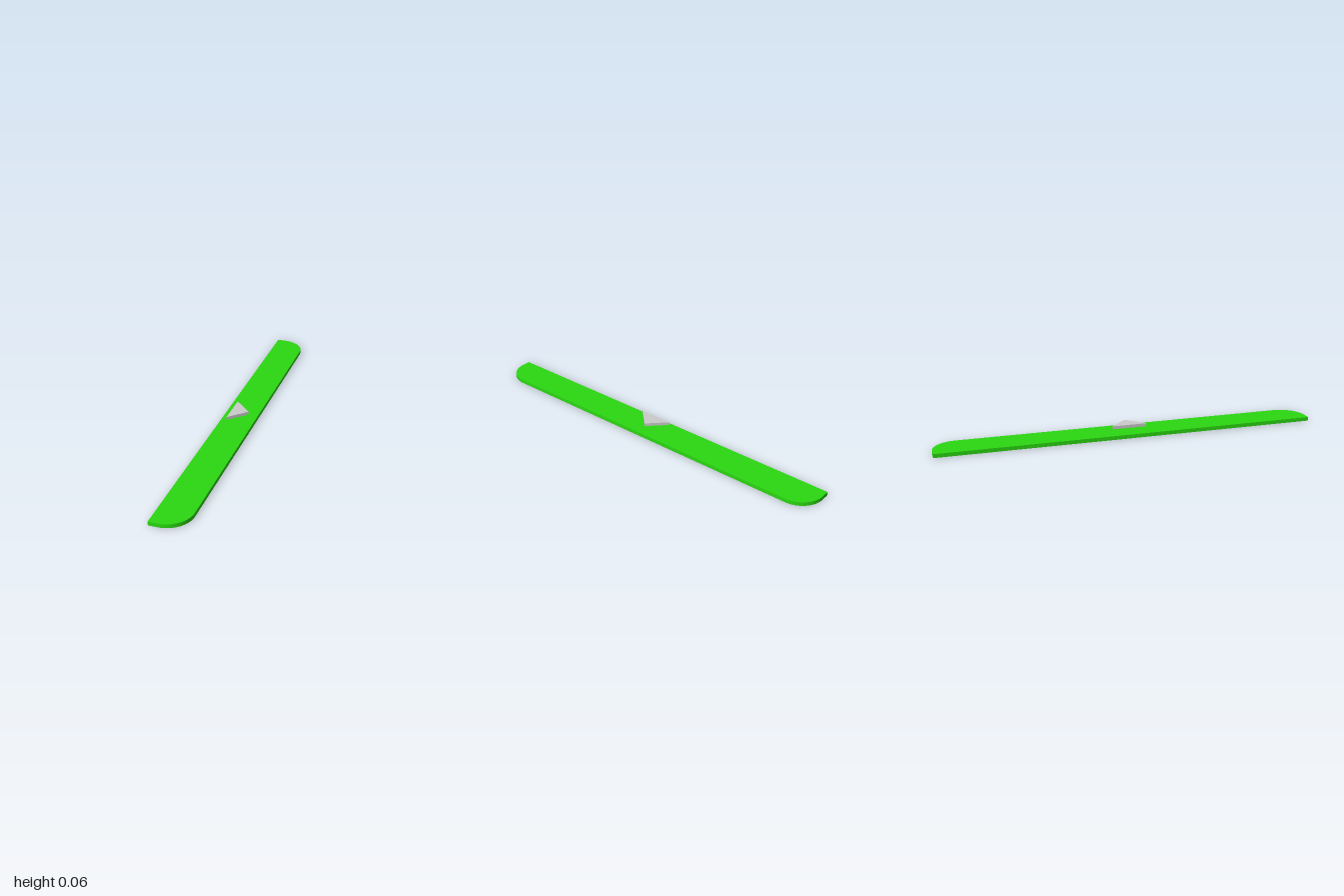
import * as THREE from 'three';
import { toCreasedNormals } from 'three/addons/utils/BufferGeometryUtils.js';

// Extrudes a plan-view outline upward from height y
function slab(name, shape, y, height, color) {
  const extruded = new THREE.ExtrudeGeometry(shape, { depth: height, bevelEnabled: false, curveSegments: 24 });
  extruded.rotateX(-Math.PI / 2);
  const mesh = new THREE.Mesh(toCreasedNormals(extruded, Math.PI / 6), new THREE.MeshStandardMaterial({ color }));
  mesh.position.y = y;
  mesh.name = name;
  return mesh;
}

export function createModel() {
  const group = new THREE.Group();
  group.name = 'barWithPointer';

  // Long bar, with the two corners on the +x side rounded
  const w = 0.085, r = 0.125;
  const bar = new THREE.Shape();
  bar.moveTo(-w, -1);
  bar.lineTo(w - r, -1);
  bar.absarc(w - r, -1 + r, r, -Math.PI / 2, 0, false);
  bar.lineTo(w, 1 - r);
  bar.absarc(w - r, 1 - r, r, 0, Math.PI / 2, false);
  bar.lineTo(-w, 1);
  bar.closePath();
  group.add(slab('bar', bar, 0, 0.02, 0x2bd812));

  // Triangular pointer floating above the middle, aimed at +x
  const pointer = new THREE.Shape([
    new THREE.Vector2(-0.043, -0.09),
    new THREE.Vector2(0.047, 0),
    new THREE.Vector2(-0.043, 0.09),
  ]);
  group.add(slab('pointer', pointer, 0.043, 0.016, 0xcccccc));

  return group;
}
